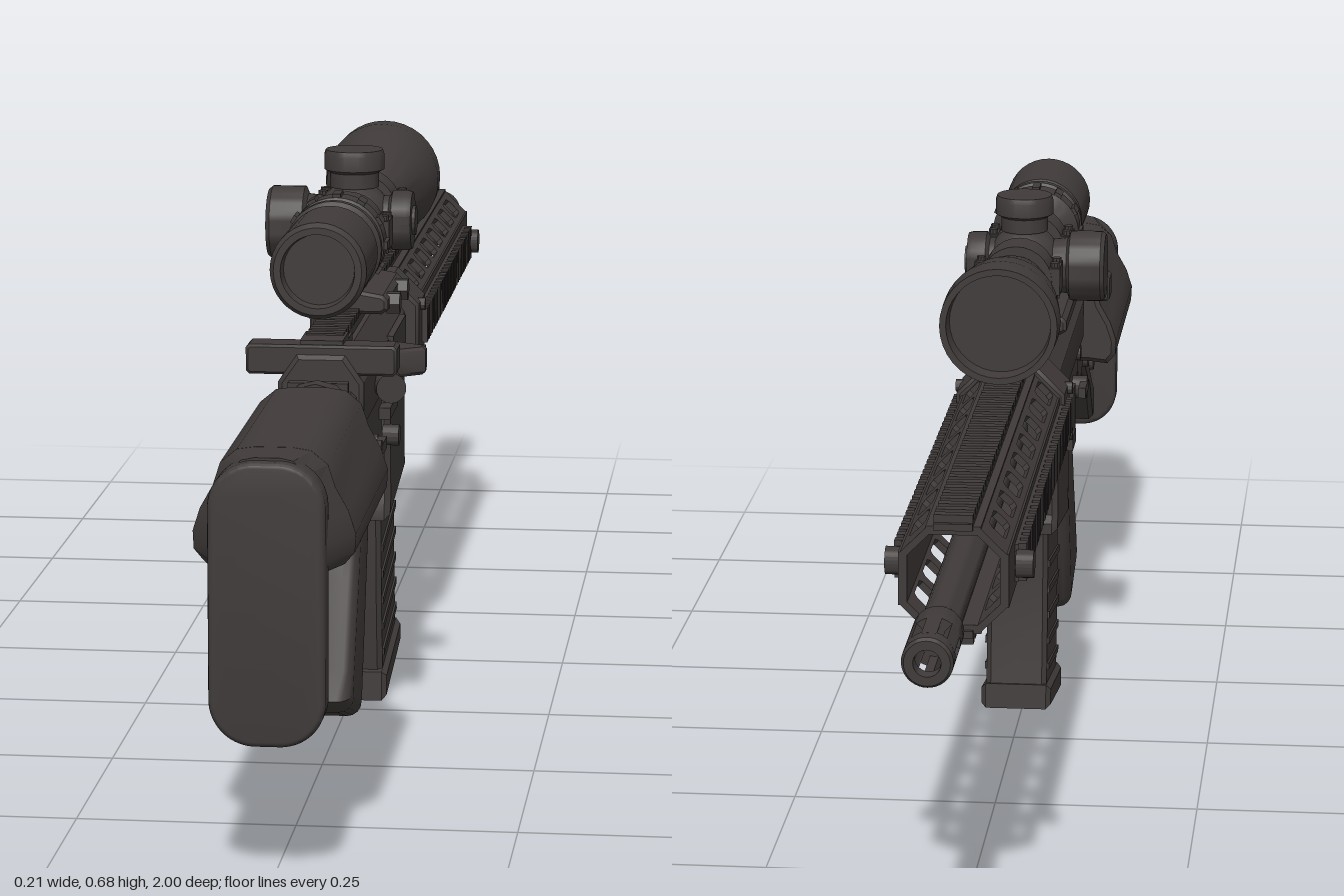
import * as THREE from 'three';
import { toCreasedNormals } from 'three/addons/utils/BufferGeometryUtils.js';

export function createModel() {
  const root = new THREE.Group();
  root.name = 'scopedRifle';
  const gunmetal = new THREE.MeshStandardMaterial({ color: 0x403b3a });
  gunmetal.name = 'gunmetal';

  const add = (name, geo, x = 0, y = 0, z = 0, parent = root) => {
    const m = new THREE.Mesh(toCreasedNormals(geo, 0.6), gunmetal);
    m.name = name;
    m.position.set(x, y, z);
    parent.add(m);
    return m;
  };
  const toShape = (pts, holes = []) => {
    const s = new THREE.Shape(pts.map(p => new THREE.Vector2(...p)));
    for (const h of holes) s.holes.push(new THREE.Path(h.map(p => new THREE.Vector2(...p))));
    return s;
  };
  const extrude = (shape, depth, b = 0, seg = 1) => {
    const g = new THREE.ExtrudeGeometry(shape, {
      depth: depth - 2 * b, bevelEnabled: b > 0, bevelSize: b, bevelOffset: -b,
      bevelThickness: b, bevelSegments: seg, curveSegments: 10,
    });
    return g.translate(0, 0, b);
  };
  // outline in (z, y), extruded symmetrically over the width in x
  const side = (pts, width, b = 0, holes = [], seg = 1) =>
    extrude(toShape(pts, holes), width, b, seg).translate(0, 0, -width / 2).rotateY(-Math.PI / 2);
  // outline in (x, y), extruded from z0 to z1
  const along = (pts, z0, z1, b = 0) => extrude(toShape(pts), z1 - z0, b).translate(0, 0, z0);
  const mirror = pts => [...pts, ...pts.slice().reverse().map(([x, y]) => [-x, y])];
  const box = (w, h, d) => new THREE.BoxGeometry(w, h, d);
  const cylX = (r, len, n = 24) => new THREE.CylinderGeometry(r, r, len, n).rotateZ(Math.PI / 2);
  const cylZ = (r, len, n = 24) => new THREE.CylinderGeometry(r, r, len, n).rotateX(Math.PI / 2);
  // (radius, height) profile turned about y, or about z
  const lathe = (pts, n = 36) => new THREE.LatheGeometry(pts.map(p => new THREE.Vector2(...p)), n);
  const latheZ = pts => lathe(pts).rotateX(Math.PI / 2);
  // toothed accessory rail
  const rail = (z0, z1, y0, y1, width) => {
    const n = Math.round((z1 - z0) / 0.022), p = (z1 - z0) / n, valley = y1 - 0.009;
    const pts = [[z0, y0]];
    for (let i = 0; i < n; i++) {
      const z = z0 + i * p;
      pts.push([z, valley], [z + p * 0.25, valley], [z + p * 0.25, y1], [z + p * 0.8, y1], [z + p * 0.8, valley]);
    }
    pts.push([z1, valley], [z1, y0]);
    return side(pts, width);
  };

  // Barrel and muzzle
  const axisY = 0.425;
  add('barrel', cylZ(0.022, 0.92), 0, axisY, -0.43);
  add('muzzleCollar', latheZ([[0, -0.925], [0.028, -0.925], [0.028, -0.885], [0.022, -0.865], [0, -0.865]]), 0, axisY, 0);
  add('muzzleRing', latheZ([[0.015, -0.98], [0.015, -1], [0.025, -1], [0.028, -0.996], [0.028, -0.975], [0.015, -0.975]]), 0, axisY, 0);
  for (let i = 0; i < 6; i++) {
    const a = (i + 0.5) * Math.PI / 3, s = new THREE.Shape();
    s.absarc(0, 0, 0.028, a - 0.3, a + 0.3, false);
    s.absarc(0, 0, 0.016, a + 0.3, a - 0.3, true);
    add('muzzleProng', extrude(s, 0.06).translate(0, 0, -0.98), 0, axisY, 0);
  }

  // Handguard: four toothed rails joined by slotted diagonal panels
  const guard = new THREE.Group();
  guard.name = 'handguard';
  guard.position.y = 0.435;
  root.add(guard);
  const slots = [];
  for (let i = 0; i < 8; i++) {
    const z = -0.69 + i * 0.083;
    slots.push([[z, -0.008], [z + 0.006, -0.013], [z + 0.054, -0.013], [z + 0.06, -0.008],
      [z + 0.06, 0.008], [z + 0.054, 0.013], [z + 0.006, 0.013], [z, 0.008]]);
  }
  for (let k = 0; k < 4; k++) {
    const strip = add('guardStrip', box(0.062, 0.01, 0.75).translate(0, 0.057, -0.355), 0, 0, 0, guard);
    const teeth = add('guardRail', rail(k % 2 ? -0.66 : -0.735, 0, 0.058, 0.075, 0.044), 0, 0, 0, guard);
    strip.rotation.z = teeth.rotation.z = k * Math.PI / 2;
    const panel = add('slottedPanel', side([[-0.73, -0.022], [0.02, -0.022], [0.02, 0.022], [-0.73, 0.022]], 0.008, 0, slots)
      .translate(0.06, 0, 0), 0, 0, 0, guard);
    panel.rotation.z = Math.PI / 4 + k * Math.PI / 2;
  }
  add('guardClamp', along(mirror([[0.034, -0.068], [0.068, -0.034], [0.068, 0.034], [0.034, 0.068]]), -0.045, 0.04, 0.004), 0, 0, 0, guard);
  for (const s of [1, -1]) {
    add('slingSocket', cylX(0.016, 0.02), s * 0.074, 0, -0.66, guard);
    for (const y of [0.03, -0.03]) add('clampBolt', cylX(0.008, 0.012, 12), s * 0.068, y, 0.01, guard);
  }

  // Upper receiver
  add('upperReceiver', along(mirror([[0.04, 0.395], [0.05, 0.41], [0.05, 0.46], [0.028, 0.492]]), -0.01, 0.51, 0.005));
  add('receiverRail', rail(0, 0.47, 0.485, 0.51, 0.044));
  add('ejectionCover', box(0.008, 0.042, 0.15), 0.052, 0.443, 0.155);
  add('coverHinge', cylZ(0.006, 0.16, 10), 0.054, 0.418, 0.155);
  add('caseDeflector', extrude(toShape([[0.045, -0.235], [0.1, -0.265], [0.1, -0.28], [0.045, -0.32]]), 0.034, 0.004)
    .rotateX(-Math.PI / 2), 0, 0.427, 0);
  add('forwardAssist', cylZ(0.018, 0.1, 18), 0.058, 0.432, 0.345).rotation.y = 0.25;
  add('chargingHandle', along(mirror([[0.084, 0.468], [0.088, 0.472], [0.088, 0.499], [0.084, 0.503]]), 0.465, 0.505, 0.003));
  add('chargingHandleStem', box(0.05, 0.03, 0.1), 0, 0.485, 0.45);
  add('rearSightBase', box(0.05, 0.026, 0.06), 0, 0.495, 0.47);

  // Lower receiver with magazine well
  add('lowerReceiver', side([[0.53, 0.45], [0.53, 0.405], [0.505, 0.36], [0.45, 0.295], [0.35, 0.292], [0.31, 0.31],
    [0.22, 0.31], [0.05, 0.31], [0.04, 0.41], [0.25, 0.41], [0.47, 0.415], [0.5, 0.45]], 0.084, 0.006));
  add('magazineWell', side([[0.235, 0.395], [0.228, 0.262], [0.235, 0.248], [0.235, 0.235], [0.04, 0.262], [0.04, 0.276],
    [0.05, 0.285], [0.05, 0.395]], 0.104, 0.007));
  for (const s of [1, -1]) {
    for (const [y, z] of [[0.39, 0.03], [0.395, 0.47], [0.335, 0.29], [0.355, 0.34]])
      add('receiverPin', cylX(0.01, 0.012, 14), s * 0.043, y, z);
    add('selectorHub', cylX(0.015, 0.024, 16), s * 0.05, 0.36, 0.42);
    add('selectorLever', box(0.01, 0.014, 0.055), s * 0.058, 0.363, 0.4);
  }
  add('magazineRelease', cylX(0.013, 0.02, 16), 0.055, 0.345, 0.245);
  add('releaseFence', box(0.02, 0.014, 0.09), 0.046, 0.375, 0.22);
  add('boltCatch', box(0.016, 0.06, 0.03), -0.05, 0.375, 0.25);
  add('rightReleasePlate', box(0.01, 0.018, 0.05), -0.055, 0.34, 0.22);

  // Trigger and guard
  const path = pts => new THREE.CatmullRomCurve3(pts.map(([z, y]) => new THREE.Vector3(0, y, z)));
  add('triggerGuard', new THREE.TubeGeometry(path([[0.345, 0.295], [0.335, 0.25], [0.3, 0.226], [0.26, 0.224],
    [0.235, 0.25], [0.228, 0.29]]), 24, 0.009, 8).scale(2, 1, 1));
  add('trigger', new THREE.TubeGeometry(path([[0.3, 0.32], [0.3, 0.29], [0.287, 0.262], [0.27, 0.245]]), 12, 0.007, 8));

  // Pistol grip
  add('grip', side([[0.335, 0.305], [0.35, 0.25], [0.385, 0.15], [0.42, 0.055], [0.435, 0.042], [0.53, 0.072], [0.55, 0.09],
    [0.535, 0.125], [0.485, 0.22], [0.46, 0.275], [0.475, 0.315], [0.45, 0.325]], 0.08, 0.018, [], 4));

  // Magazine with ribs and floor plate; t runs from top to bottom
  const magEdge = t => [0.218 - 0.022 * t * t, 0.053 - 0.02 * t * t];
  const steps = [0, 0.33, 0.66, 1];
  add('magazine', side([...steps.map(t => [magEdge(t)[0], 0.25 - 0.225 * t]),
    ...steps.reverse().map(t => [magEdge(t)[1], 0.275 - 0.225 * t])], 0.078, 0.006));
  for (let i = 0; i < 5; i++) {
    const t = 0.25 + i * 0.15, [b, f] = magEdge(t);
    add('magazineRib', box(0.083, 0.009, b - f - 0.012), 0, 0.262 - 0.225 * t, (b + f) / 2).rotation.x = 0.15;
  }
  add('magazineFloor', side([[0.208, 0], [0.206, 0.036], [0.03, 0.062], [0.027, 0.03]], 0.09, 0.006));

  // Stock tube and nut
  add('stockTube', cylZ(0.036, 0.35), 0, 0.425, 0.66);
  add('castleNut', cylZ(0.044, 0.025, 12), 0, 0.425, 0.55);
  add('endPlate', box(0.07, 0.1, 0.014), 0, 0.415, 0.53);

  // Stock: bulged cheek body, tapered tail, skeleton strut and butt pad
  const bodyOutline = mirror([[0.05, 0.35], [0.076, 0.347], [0.087, 0.36], [0.088, 0.38], [0.08, 0.405], [0.066, 0.43],
    [0.058, 0.455], [0.04, 0.47], [0.02, 0.473]]);
  add('stockBody', along(bodyOutline, 0.595, 0.935, 0.006));
  const tail = along(bodyOutline, 0.93, 0.985), tp = tail.attributes.position;
  for (let i = 0; i < tp.count; i++) if (tp.getZ(i) > 0.96) tp.setX(i, tp.getX(i) * 0.7);
  add('stockTail', tail);
  add('stockStrut', side([[0.98, 0.17], [0.98, 0.37], [0.6, 0.39], [0.6, 0.365], [0.65, 0.32], [0.69, 0.285], [0.71, 0.285],
    [0.76, 0.305], [0.89, 0.235], [0.95, 0.172]], 0.06, 0.006, [
    [[0.955, 0.225], [0.955, 0.305], [0.84, 0.305], [0.9, 0.262]],
    [[0.95, 0.327], [0.95, 0.34], [0.74, 0.34], [0.74, 0.327]]]));
  add('stockLever', side([[0.62, 0.355], [0.7, 0.3], [0.72, 0.28], [0.7, 0.275], [0.66, 0.3], [0.6, 0.345]], 0.045, 0.004));
  add('leverPin', cylX(0.014, 0.075, 16), 0, 0.315, 0.76);
  add('stockSlingSocket', cylX(0.014, 0.07, 16), 0, 0.275, 0.9);
  const pad = new THREE.Shape();
  [[0.013, 0.42], [-0.013, 0.42], [-0.013, 0.21], [0.013, 0.21]].forEach(([x, y], i) =>
    pad.absarc(x, y, 0.05, i * Math.PI / 2, (i + 1) * Math.PI / 2, false));
  add('buttPad', extrude(pad, 0.038, 0.006, 3).translate(0, 0, 0.962));

  // Scope
  const scope = new THREE.Group();
  scope.name = 'scope';
  scope.position.y = 0.595;
  root.add(scope);
  add('scopeTube', latheZ([[0, -0.18], [0.062, -0.18], [0.064, -0.205], [0.072, -0.205], [0.073, -0.165], [0.066, -0.11],
    [0.047, -0.02], [0.036, 0.01], [0.033, 0.03], [0.033, 0.3], [0.048, 0.312], [0.057, 0.318], [0.057, 0.35], [0.05, 0.355],
    [0.05, 0.364], [0.057, 0.368], [0.057, 0.38], [0.046, 0.39], [0.055, 0.4], [0.056, 0.53], [0.051, 0.537], [0.043, 0.537],
    [0.041, 0.522], [0, 0.522]]), 0, 0, 0, scope);
  for (let i = 0; i < 12; i++)
    add('zoomRingGrip', box(0.008, 0.01, 0.03).translate(0.057, 0, 0.334), 0, 0, 0, scope).rotation.z = i * Math.PI / 6;
  add('turretHousing', new THREE.SphereGeometry(0.05, 24, 16).scale(0.95, 0.95, 1), 0, 0, 0.155, scope);
  const turretCap = () => lathe([[0, 0], [0.03, 0], [0.03, 0.018], [0.037, 0.022], [0.037, 0.04], [0.035, 0.046], [0, 0.046]], 24);
  add('elevationTurret', turretCap(), 0, 0.041, 0.155, scope);
  add('windageTurret', turretCap().rotateZ(-Math.PI / 2), 0.026, 0, 0.155, scope);
  add('windageDial', cylX(0.018, 0.006, 20), 0.073, 0, 0.155, scope);
  add('focusTurret', latheZ([[0, 0], [0.034, 0], [0.036, 0.018], [0.045, 0.022], [0.045, 0.062], [0.041, 0.067], [0, 0.067]])
    .rotateY(-Math.PI / 2), -0.038, -0.005, 0.155, scope);

  // Scope mount and rings
  add('mountBase', along(mirror([[0.048, 0.503], [0.056, 0.508], [0.056, 0.52], [0.05, 0.526], [0.026, 0.53]]), 0.13, 0.3, 0.004));
  add('mountBridge', side([[0.3, 0.52], [0.13, 0.52], [0.08, 0.53], [0.035, 0.553], [0.035, 0.572], [0.29, 0.572]], 0.05, 0.004));
  for (const z of [0.25, 0.063]) {
    add('scopeRing', cylZ(0.045, 0.052, 28), 0, 0.595, z);
    for (const s of [1, -1]) {
      add('ringFlange', box(0.018, 0.034, 0.05), s * 0.046, 0.595, z);
      for (const d of [-0.014, 0.014])
        add('ringScrew', new THREE.CylinderGeometry(0.006, 0.006, 0.046, 10), s * 0.048, 0.595, z + d);
    }
  }
  for (const z of [0.17, 0.265]) add('mountNut', cylX(0.014, 0.016, 6), 0.06, 0.512, z);
  return root;
}
